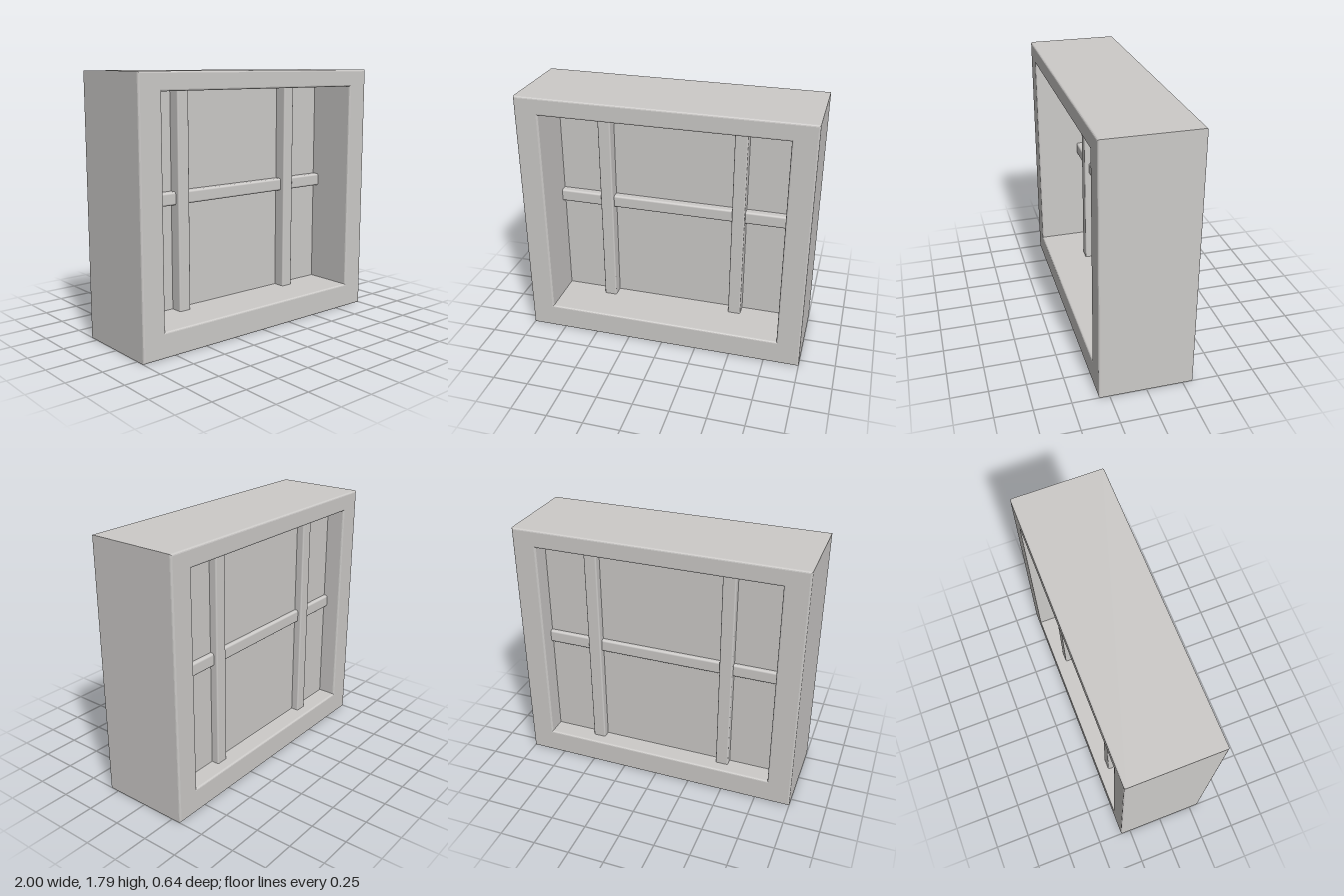
import * as THREE from 'three';
import { RoundedBoxGeometry } from 'three/addons/geometries/RoundedBoxGeometry.js';

const W = 2, H = 1.795, D = 0.645;                    // outer frame
const OPEN = { x: 0.834, bottom: 0.174, top: 1.674 }; // opening
const BEVEL = 0.012;

// Traces a rectangle on a Shape or Path
function rect(path, x0, y0, x1, y1) {
  path.moveTo(x0, y0);
  path.lineTo(x1, y0);
  path.lineTo(x1, y1);
  path.lineTo(x0, y1);
  path.closePath();
  return path;
}

export function createModel() {
  const group = new THREE.Group();
  group.name = 'window';
  const grey = new THREE.MeshStandardMaterial({ color: 0xcccac8 });
  grey.name = 'pale grey';

  function add(name, geometry, x, y, z) {
    const mesh = new THREE.Mesh(geometry, grey);
    mesh.name = name;
    mesh.position.set(x, y, z);
    group.add(mesh);
  }

  // Deep frame with softened edges inside and out
  const b = BEVEL;
  const outline = rect(new THREE.Shape(), -W / 2 + b, b, W / 2 - b, H - b);
  outline.holes.push(rect(new THREE.Path(),
    -OPEN.x - b, OPEN.bottom - b, OPEN.x + b, OPEN.top + b));
  const frame = new THREE.ExtrudeGeometry(outline, {
    depth: D - 2 * b, bevelEnabled: true, bevelThickness: b, bevelSize: b, bevelSegments: 3,
  });
  add('frame', frame, 0, 0, -D / 2 + b);

  // Solid pane set towards the back, its edges sunk into the frame
  const openH = OPEN.top - OPEN.bottom, midY = (OPEN.top + OPEN.bottom) / 2;
  const paneFront = -0.035, paneBack = -0.19;
  add('pane', new THREE.BoxGeometry(2 * OPEN.x + 0.04, openH + 0.04, paneFront - paneBack),
    0, midY, (paneFront + paneBack) / 2);

  // Two upright bars standing proud of the pane on both sides
  for (const [side, name] of [[1, 'leftUprightBar'], [-1, 'rightUprightBar']]) {
    add(name, new RoundedBoxGeometry(0.09, openH + 0.06, 0.295, 3, 0.01), side * 0.479, midY, -0.097);
  }

  // Shallower crossbar
  add('crossbar', new RoundedBoxGeometry(2 * OPEN.x + 0.06, 0.09, 0.235, 3, 0.015), 0, 0.951, -0.1);

  return group;
}
